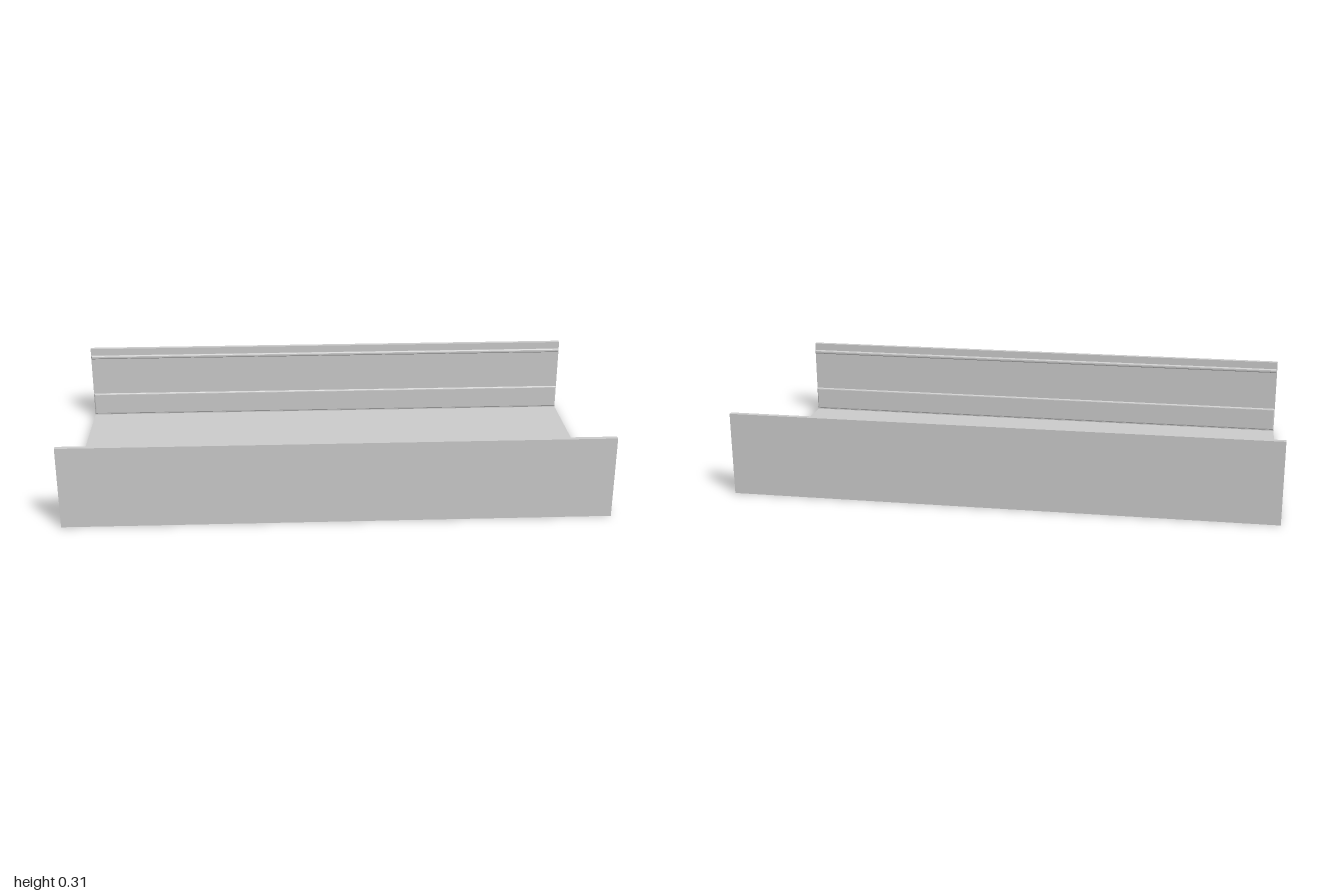
import * as THREE from 'three';

const LENGTH = 2, HEIGHT = 0.31, HALF_DEPTH = 0.52, WALL = 0.018, FLOOR = 0.01;
const material = new THREE.MeshStandardMaterial({ color: 0xcccccc, flatShading: true });

function addMesh(parent, name, geometry, x, y, z) {
  const mesh = new THREE.Mesh(geometry, material);
  mesh.name = name;
  mesh.position.set(x, y, z);
  parent.add(mesh);
}

// Long raised strip with softened edges and ends, facing +z
function stripGeometry(bottom, top, raise, segments) {
  const x = LENGTH / 2;
  const shape = new THREE.Shape([
    new THREE.Vector2(-x, bottom), new THREE.Vector2(x, bottom),
    new THREE.Vector2(x, top), new THREE.Vector2(-x, top),
  ]);
  return new THREE.ExtrudeGeometry(shape, {
    depth: 0.001, bevelThickness: raise, bevelSize: raise,
    bevelOffset: -raise, bevelSegments: segments,
  });
}

// Upright side wall with its two inner strips, built for the back
function createSide(name) {
  const side = new THREE.Group();
  side.name = name;
  const inner = -HALF_DEPTH + WALL;
  addMesh(side, 'wall', new THREE.BoxGeometry(LENGTH, HEIGHT, WALL), 0, HEIGHT / 2, inner - WALL / 2);
  addMesh(side, 'upperBead', stripGeometry(0.265, 0.281, 0.006, 4), 0, 0, inner - 0.001);
  addMesh(side, 'lowerStrip', stripGeometry(0.014, 0.108, 0.006, 3), 0, 0, inner - 0.001);
  return side;
}

export function createModel() {
  const model = new THREE.Group();
  model.name = 'channelTray';

  // Thin floor between the walls
  addMesh(model, 'floor', new THREE.BoxGeometry(LENGTH, FLOOR, 2 * (HALF_DEPTH - WALL)), 0, FLOOR / 2, 0);

  // Matching walls, the front one turned to face inwards
  const back = createSide('backSide');
  const front = createSide('frontSide');
  front.rotation.y = Math.PI;
  model.add(back, front);
  return model;
}
